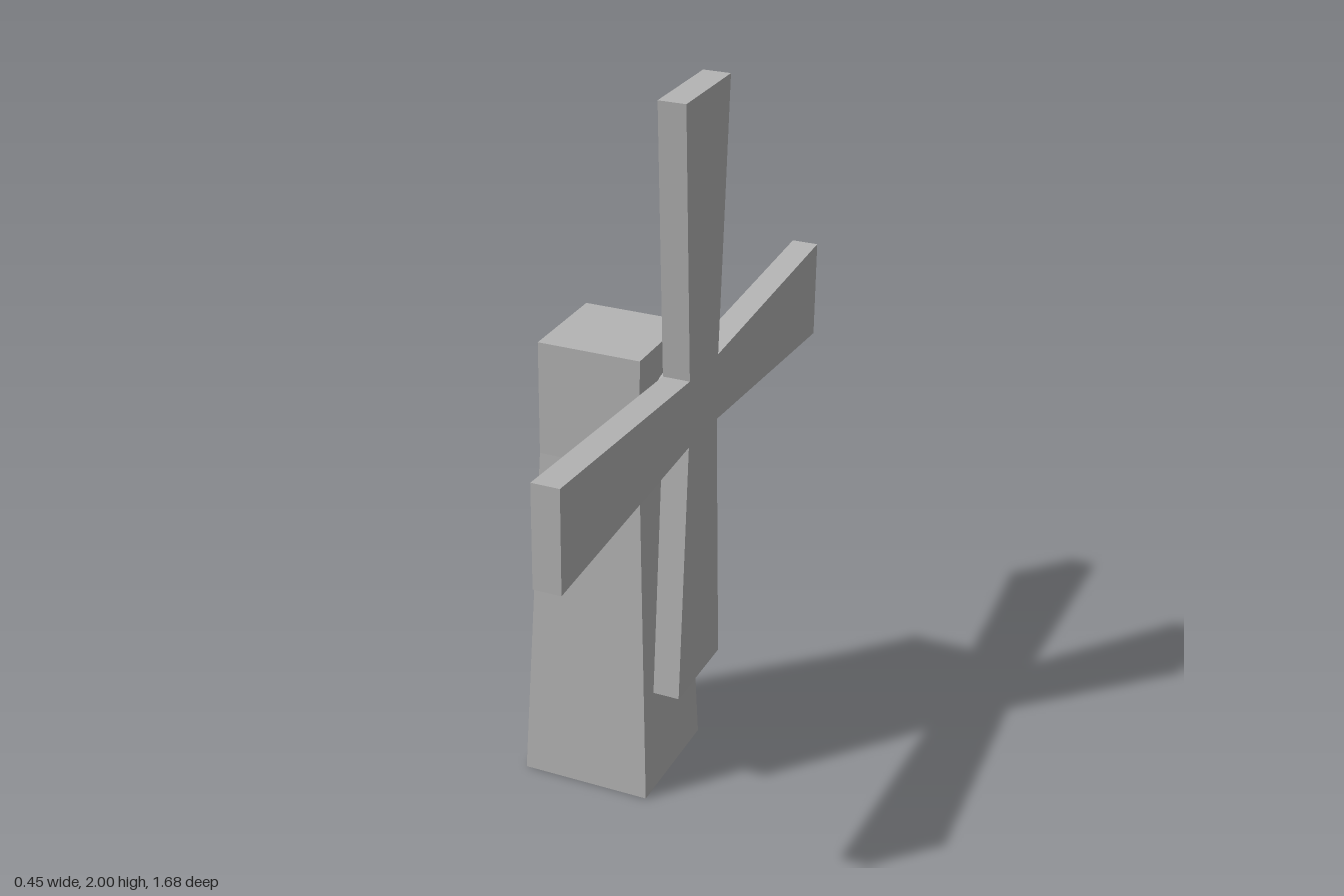
import * as THREE from 'three';

export function createModel() {
  const model = new THREE.Group();
  model.name = 'windmill';
  const grey = new THREE.MeshStandardMaterial({ name: 'plain grey', color: 0xb4b4b4 });

  const add = (name, geometry, x, y) => {
    const mesh = new THREE.Mesh(geometry, grey);
    mesh.name = name;
    mesh.position.set(x, y, 0);
    model.add(mesh);
  };

  const towerX = -0.039, hubY = 1.161;

  // Square tower: tapers up to a straight-sided head
  const corner = (half, y) => new THREE.Vector2(half * Math.SQRT2, y);
  const profile = [corner(0, 0), corner(0.186, 0), corner(0.145, 0.99), corner(0.145, 1.31), corner(0, 1.31)];
  const tower = new THREE.LatheGeometry(profile, 4, Math.PI / 4).toNonIndexed();
  tower.computeVertexNormals();
  add('tower', tower, towerX, 0);

  // Axle running through the head, showing at the back and behind the sails
  const axle = new THREE.CylinderGeometry(0.056, 0.056, 0.372, 32);
  axle.rotateZ(Math.PI / 2);
  add('axle', axle, towerX, hubY);

  // Four flared sails cut as one flat cross
  const outline = [];
  for (let i = 0; i < 4; i++) {
    const a = i * Math.PI / 2;
    for (const [x, y] of [[0.094, 0.094], [0.14, 0.839], [-0.14, 0.839]]) {
      outline.push(new THREE.Vector2(x, y).rotateAround(new THREE.Vector2(), a));
    }
  }
  const sails = new THREE.ExtrudeGeometry(new THREE.Shape(outline), { depth: 0.075, bevelEnabled: false });
  sails.rotateY(Math.PI / 2);
  add('sails', sails, 0.148, hubY);

  return model;
}
